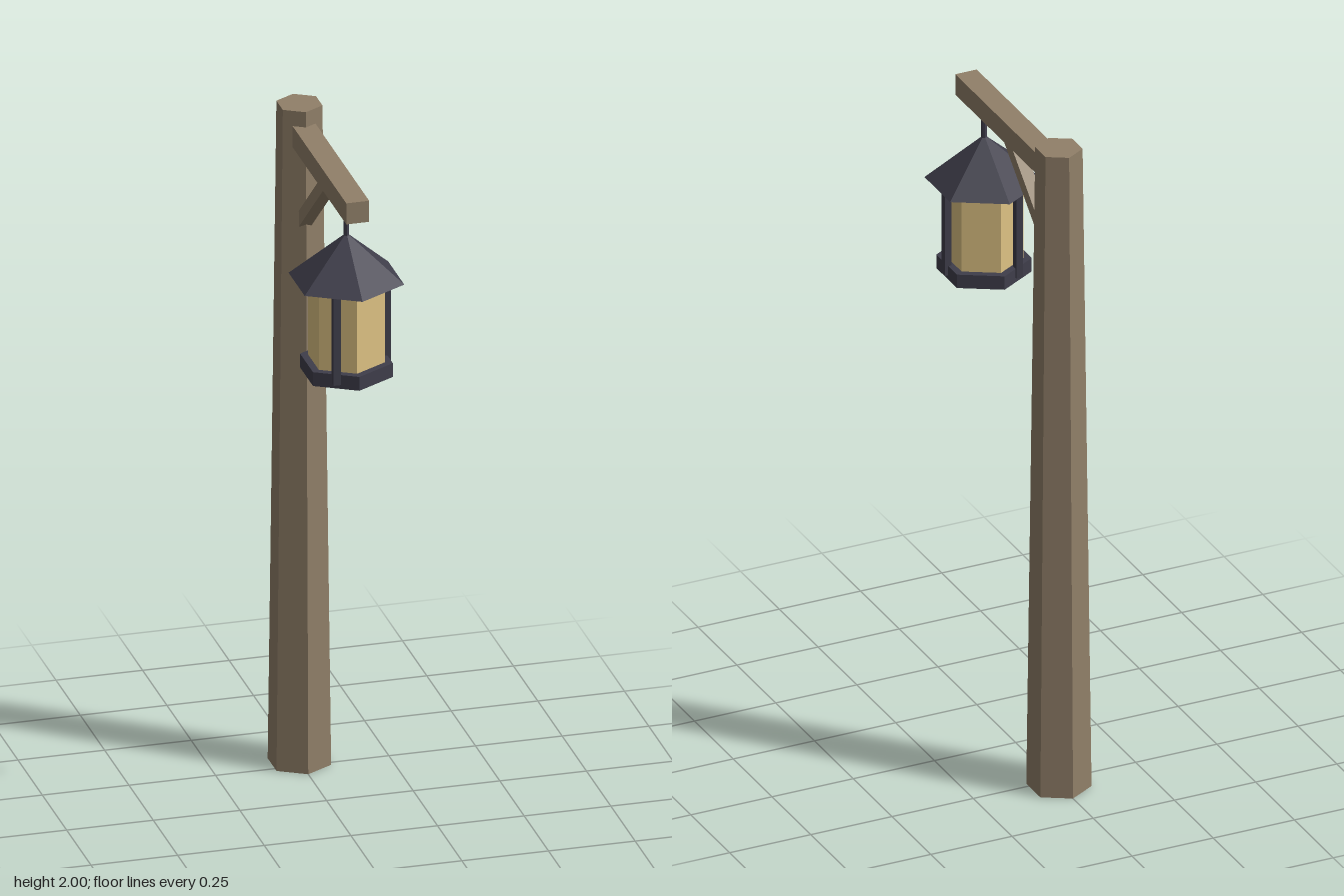
import * as THREE from 'three';

const material = (color) => new THREE.MeshStandardMaterial({ color, flatShading: true });

export function createModel() {
  const model = new THREE.Group();
  const wood = material(0x918069);
  const metal = material(0x3f3e4b);
  const glass = material(0xdfc384);

  const add = (parent, name, geometry, mat, x, y, z) => {
    const mesh = new THREE.Mesh(geometry, mat);
    mesh.name = name;
    mesh.position.set(x, y, z);
    parent.add(mesh);
    return mesh;
  };
  // Six-sided prism or frustum between two heights, corners on the z axis
  const hex = (parent, name, mat, rTop, rBottom, y0, y1, z = 0) =>
    add(parent, name, new THREE.CylinderGeometry(rTop, rBottom, y1 - y0, 6), mat, 0, (y0 + y1) / 2, z);

  // Tapered post
  hex(model, 'post', wood, 0.066, 0.091, 0, 2, -0.279);

  // Horizontal arm, its back end set into the post
  add(model, 'arm', new THREE.BoxGeometry(0.066, 0.064, 0.57), wood, 0, 1.922, 0.035);

  // Diagonal brace from post to arm
  const low = new THREE.Vector3(0, 1.658, -0.24);
  const high = new THREE.Vector3(0, 1.908, 0.048);
  const middle = low.clone().add(high).multiplyScalar(0.5);
  const brace = add(model, 'brace', new THREE.BoxGeometry(0.037, 0.037, low.distanceTo(high)), wood, ...middle);
  brace.rotation.x = -Math.atan2(high.y - low.y, high.z - low.z);

  // Hanging lantern
  const lantern = new THREE.Group();
  lantern.name = 'lantern';
  lantern.position.z = 0.204;
  model.add(lantern);

  hex(lantern, 'hangingRod', metal, 0.008, 0.008, 1.79, 1.9);
  add(lantern, 'roof', new THREE.ConeGeometry(0.166, 0.14, 6), metal, 0, 1.742, 0);
  hex(lantern, 'glass', glass, 0.11, 0.11, 1.41, 1.68);
  hex(lantern, 'base', metal, 0.133, 0.133, 1.388, 1.43);

  // Three upright bars around the glass
  for (let i = 0; i < 3; i++) {
    const a = (i * Math.PI * 2) / 3;
    add(lantern, 'bar', new THREE.BoxGeometry(0.021, 0.286, 0.021), metal,
      0.115 * Math.cos(a), 1.544, 0.115 * Math.sin(a));
  }

  return model;
}
